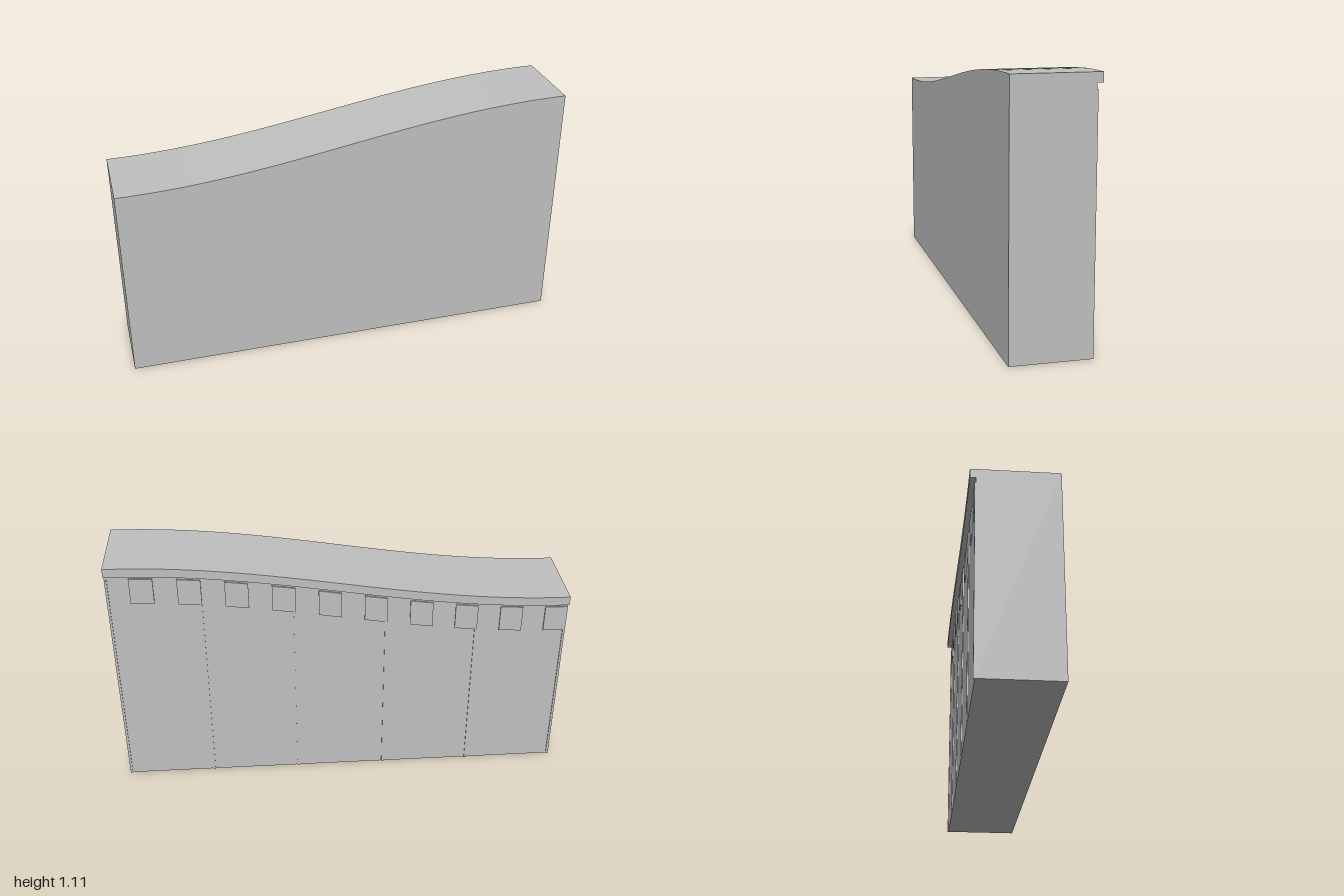
import * as THREE from 'three';

// Height of the S-curved top at a given x
const topY = (x) => 1 + 0.11 * Math.sin((x * Math.PI) / 2);

// Slab between x0 and x1 whose top (and bottom, unless it stands on the ground) follows the curve
function slab(x0, x1, topDrop, bottomDrop, zBack, zFront, steps) {
  const shape = new THREE.Shape();
  const xAt = (i) => x0 + ((x1 - x0) * i) / steps;
  const bottom = (x) => (bottomDrop === null ? 0 : topY(x) - bottomDrop);
  shape.moveTo(x0, bottom(x0));
  if (bottomDrop !== null) {
    for (let i = 1; i < steps; i++) shape.lineTo(xAt(i), bottom(xAt(i)));
  }
  shape.lineTo(x1, bottom(x1));
  for (let i = steps; i >= 0; i--) shape.lineTo(xAt(i), topY(xAt(i)) - topDrop);
  const geometry = new THREE.ExtrudeGeometry(shape, { depth: zFront - zBack, bevelEnabled: false });
  return geometry.translate(0, 0, zBack);
}

export function createModel() {
  const group = new THREE.Group();
  const stone = new THREE.MeshStandardMaterial({ color: 0xc0c0c0 });
  stone.name = 'stone grey';

  const add = (name, geometry) => {
    const mesh = new THREE.Mesh(geometry, stone);
    mesh.name = name;
    group.add(mesh);
  };

  // Solid wall with a wavy top
  add('wallBody', slab(-1, 1, 0, null, -0.155, 0.18, 48));

  // Overhanging ledge along the back
  add('cornice', slab(-1, 1, 0, 0.04, -0.18, -0.155, 48));

  // Narrow vertical ribs dividing the back into five panels
  for (let i = 0; i <= 5; i++) {
    const x = Math.min(-1 + i * 0.4, 0.99);
    add('rib', slab(x, x + 0.01, 0.065, null, -0.16, -0.155, 1));
  }

  // Row of shallow square blocks hanging below the cornice
  for (let i = 0; i < 10; i++) {
    const x = -1 + i * 0.2;
    add('dentil', slab(x, x + 0.1, 0.06, 0.18, -0.161, -0.155, 4));
  }

  return group;
}
